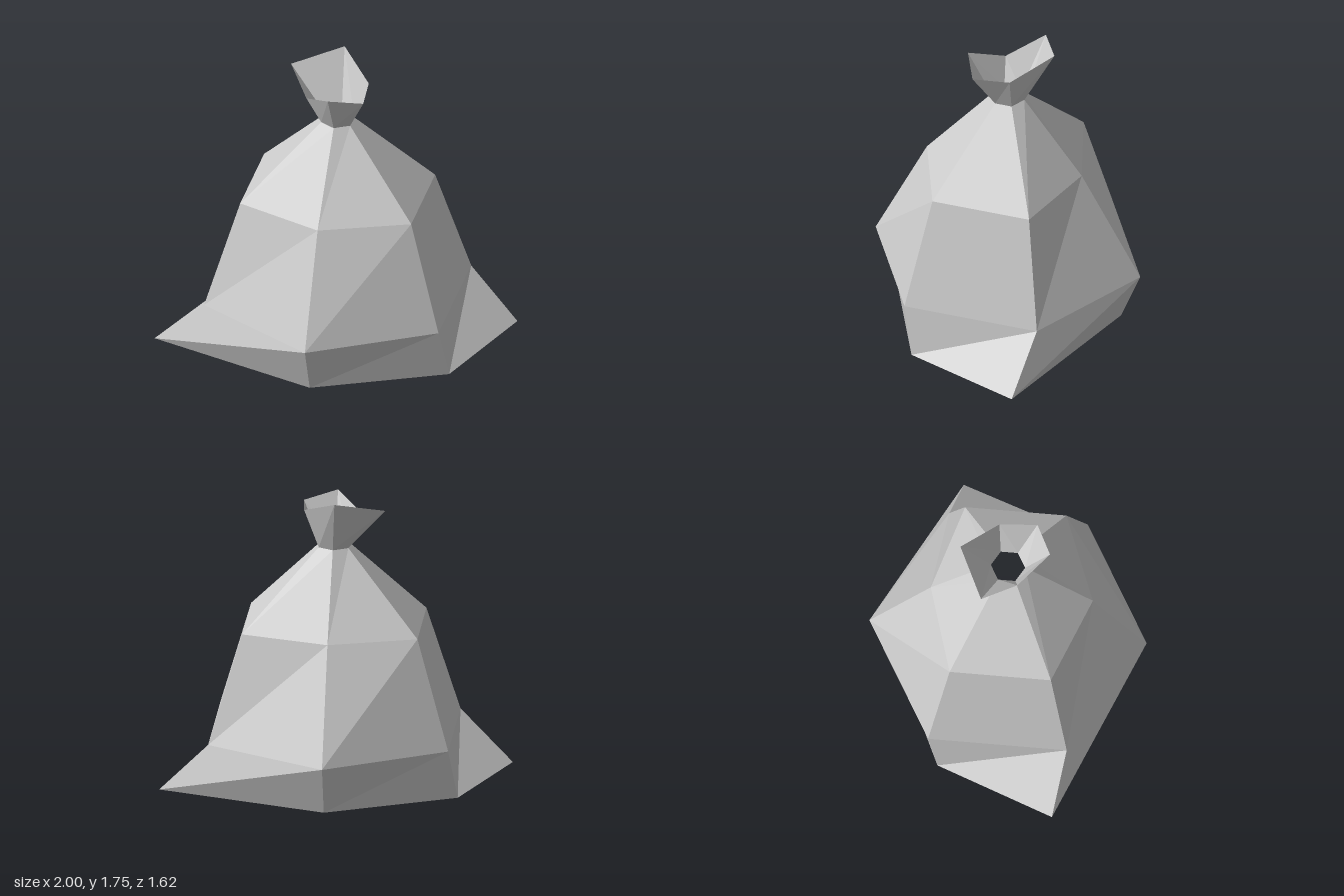
import * as THREE from 'three';

const CX = 0.01; // axis of the sack

// Six corners starting at the front and running towards +x.
function hexRing(y, radius) {
  return Array.from({ length: 6 }, (_, i) => {
    const a = (i * Math.PI) / 3;
    return new THREE.Vector3(CX + radius * Math.sin(a), y, radius * Math.cos(a));
  });
}

// Joins rings, listed from bottom to top, into a faceted open shell.
function loft(rings) {
  const positions = [];
  const tri = (...points) => points.forEach((p) => positions.push(p.x, p.y, p.z));
  for (let k = 0; k < rings.length - 1; k++) {
    const low = rings[k], high = rings[k + 1];
    for (let i = 0; i < 6; i++) {
      const j = (i + 1) % 6;
      tri(low[i], low[j], high[j]);
      tri(low[i], high[j], high[i]);
    }
  }
  const geometry = new THREE.BufferGeometry();
  geometry.setAttribute('position', new THREE.Float32BufferAttribute(positions, 3));
  geometry.computeVertexNormals();
  return geometry;
}

export function createModel() {
  const cloth = new THREE.MeshStandardMaterial({ color: 0xcccccc, flatShading: true, side: THREE.DoubleSide });
  cloth.name = 'grey cloth';

  // Open base with its side corners pulled outwards
  const base = hexRing(0, 0.69);
  base[1].x = 0.76;
  base[2].x = 1;
  base[4].x = -0.74;
  base[5].x = -1;

  // Belly, shoulder (flattened front and back) and tied neck
  const belly = hexRing(0.3, 0.808);
  const shoulder = hexRing(0.945, 0.59);
  shoulder[0].z = 0.495;
  shoulder[3].z = -0.45;
  const neck = hexRing(1.41, 0.1);

  // Ragged, flared opening above the tie
  const rim = [
    [0.01, 1.67, 0.245], [0.2, 1.63, 0.155], [0.18, 1.64, -0.065],
    [-0.015, 1.745, -0.275], [-0.3, 1.67, -0.13], [-0.16, 1.57, 0.07],
  ].map((p) => new THREE.Vector3(...p));

  const group = new THREE.Group();
  group.name = 'tiedSack';
  const add = (name, rings) => {
    const mesh = new THREE.Mesh(loft(rings), cloth);
    mesh.name = name;
    group.add(mesh);
  };
  add('sackBody', [base, belly, shoulder, neck]);
  add('sackOpening', [neck, rim]);
  return group;
}
